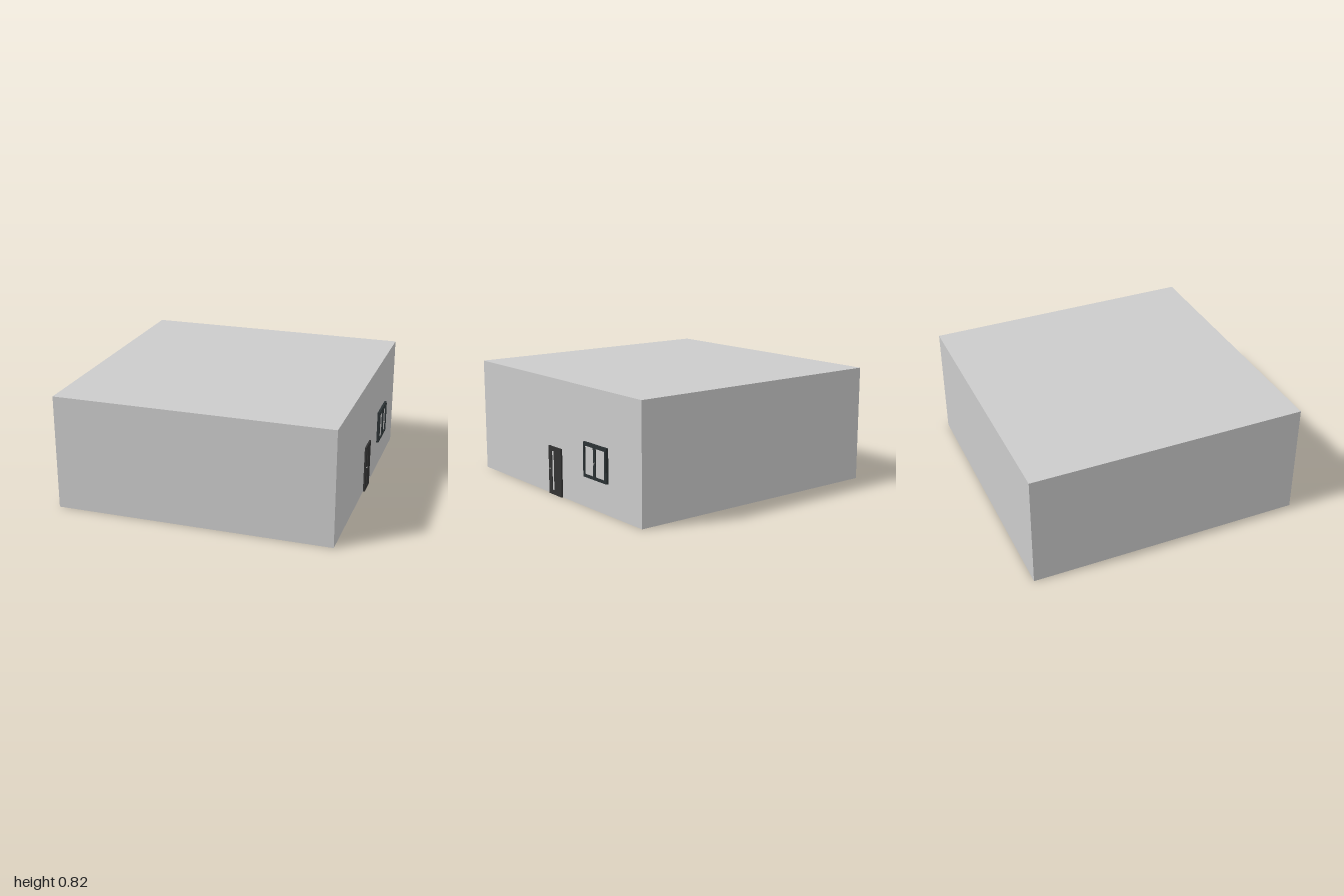
import * as THREE from 'three';

const WALL_X = 0.968; // outer face of the wall holding the door and window

const mat = (color) => new THREE.MeshStandardMaterial({ color });
const grey = mat(0xcccccc);
const dark = mat(0x333333);
const frameMat = mat(0x2b3234);
const metal = mat(0x999999);

function add(parent, name, geometry, material, x, y, z) {
  const mesh = new THREE.Mesh(geometry, material);
  mesh.name = name;
  mesh.position.set(x, y, z);
  parent.add(mesh);
  return mesh;
}

// Panel facing +x with rectangular openings; rects are [u, v, width, height] from the centre
function panel(w, h, depth, openings) {
  const rect = (target, [u, v, rw, rh]) => {
    target.moveTo(u - rw / 2, v - rh / 2);
    target.lineTo(u + rw / 2, v - rh / 2);
    target.lineTo(u + rw / 2, v + rh / 2);
    target.lineTo(u - rw / 2, v + rh / 2);
    target.closePath();
    return target;
  };
  const shape = rect(new THREE.Shape(), [0, 0, w, h]);
  shape.holes = openings.map((o) => rect(new THREE.Path(), o));
  return new THREE.ExtrudeGeometry(shape, { depth, bevelEnabled: false }).rotateY(Math.PI / 2);
}

// Lever handle: round stem out of the face, then a bar
function handle(parent, x, y, z, reach, barSize, barOffset) {
  const g = new THREE.Group();
  g.name = 'handle';
  g.position.set(x, y, z);
  add(g, 'stem', new THREE.CylinderGeometry(0.003, 0.003, reach, 12).rotateZ(Math.PI / 2), metal, reach / 2, 0, 0);
  add(g, 'lever', new THREE.BoxGeometry(0.003, ...barSize), metal, reach - 0.0015, ...barOffset);
  parent.add(g);
}

function makeDoor() {
  const door = new THREE.Group();
  door.name = 'door';
  door.position.set(WALL_X, 0.171, 0);
  // Shape u runs towards -z
  add(door, 'doorLeaf', panel(0.156, 0.342, 0.012, [[-0.026, 0, 0.026, 0.28]]), dark, 0, 0, 0);
  add(door, 'doorGlass', new THREE.BoxGeometry(0.006, 0.28, 0.026), grey, 0.004, 0, 0.026);
  handle(door, 0.012, 0.012, 0.059, 0.008, [0.004, 0.018], [0, -0.006]);
  return door;
}

function makeWindow() {
  const win = new THREE.Group();
  win.name = 'window';
  win.position.set(WALL_X, 0.332, -0.492);
  const openings = [-1, 1].map((s) => [s * 0.061, 0, 0.108, 0.2]);
  add(win, 'windowFrame', panel(0.266, 0.238, 0.017, openings), frameMat, 0, 0, 0);
  for (const s of [-1, 1]) {
    add(win, 'sash', panel(0.126, 0.214, 0.004, [[0, 0, 0.1, 0.192]]), frameMat, 0.016, 0, s * 0.063);
    add(win, 'windowGlass', new THREE.BoxGeometry(0.006, 0.2, 0.108), grey, 0.007, 0, s * 0.061);
  }
  handle(win, 0.02, 0, -0.008, 0.012, [0.016, 0.004], [-0.006, 0]);
  return win;
}

export function createModel() {
  const model = new THREE.Group();
  model.name = 'building';
  // Plain flat-roofed block
  add(model, 'walls', new THREE.BoxGeometry(1 + WALL_X, 0.822, 1.968), grey, (WALL_X - 1) / 2, 0.411, 0);
  model.add(makeDoor(), makeWindow());
  return model;
}
